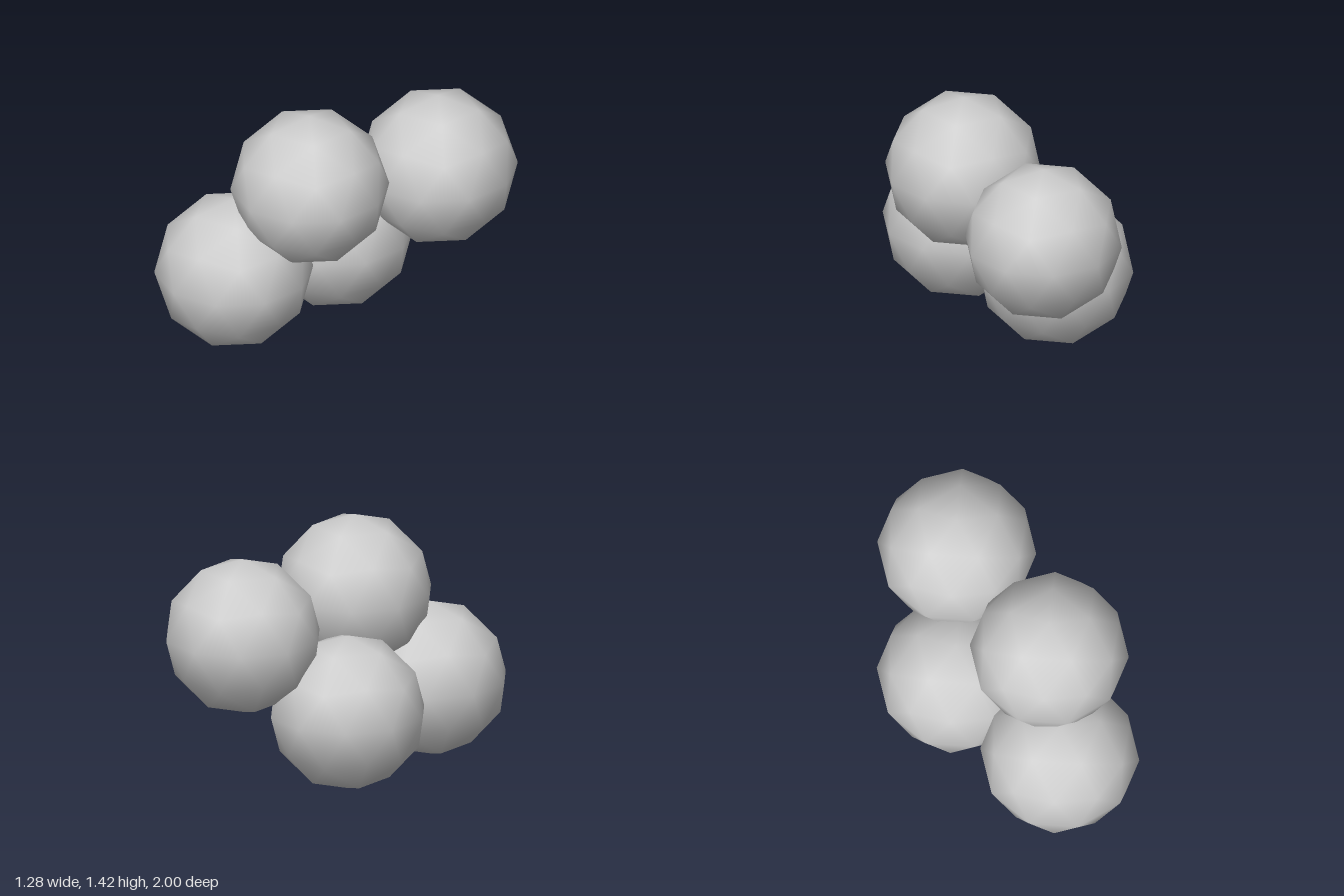
import * as THREE from 'three';

export function createModel() {
  const group = new THREE.Group();
  const material = new THREE.MeshStandardMaterial({ color: 0xcccccc });

  // Smooth-shaded 80-sided ball, turned so that one corner points straight up
  const ball = new THREE.IcosahedronGeometry(0.44, 1);
  ball.rotateZ(Math.atan(2 / (1 + Math.sqrt(5))));

  // Cluster of four equal balls: two on the ground, two stacked against them
  const balls = {
    lowerFrontBall: [-0.21, 0.46, 0.56],
    lowerBackBall: [-0.22, 0.44, -0.185],
    upperFrontBall: [0.067, 0.983, 0.245],
    upperBackBall: [0.22, 0.887, -0.56],
  };
  for (const [name, position] of Object.entries(balls)) {
    const mesh = new THREE.Mesh(ball, material);
    mesh.name = name;
    mesh.position.set(...position);
    group.add(mesh);
  }
  return group;
}
